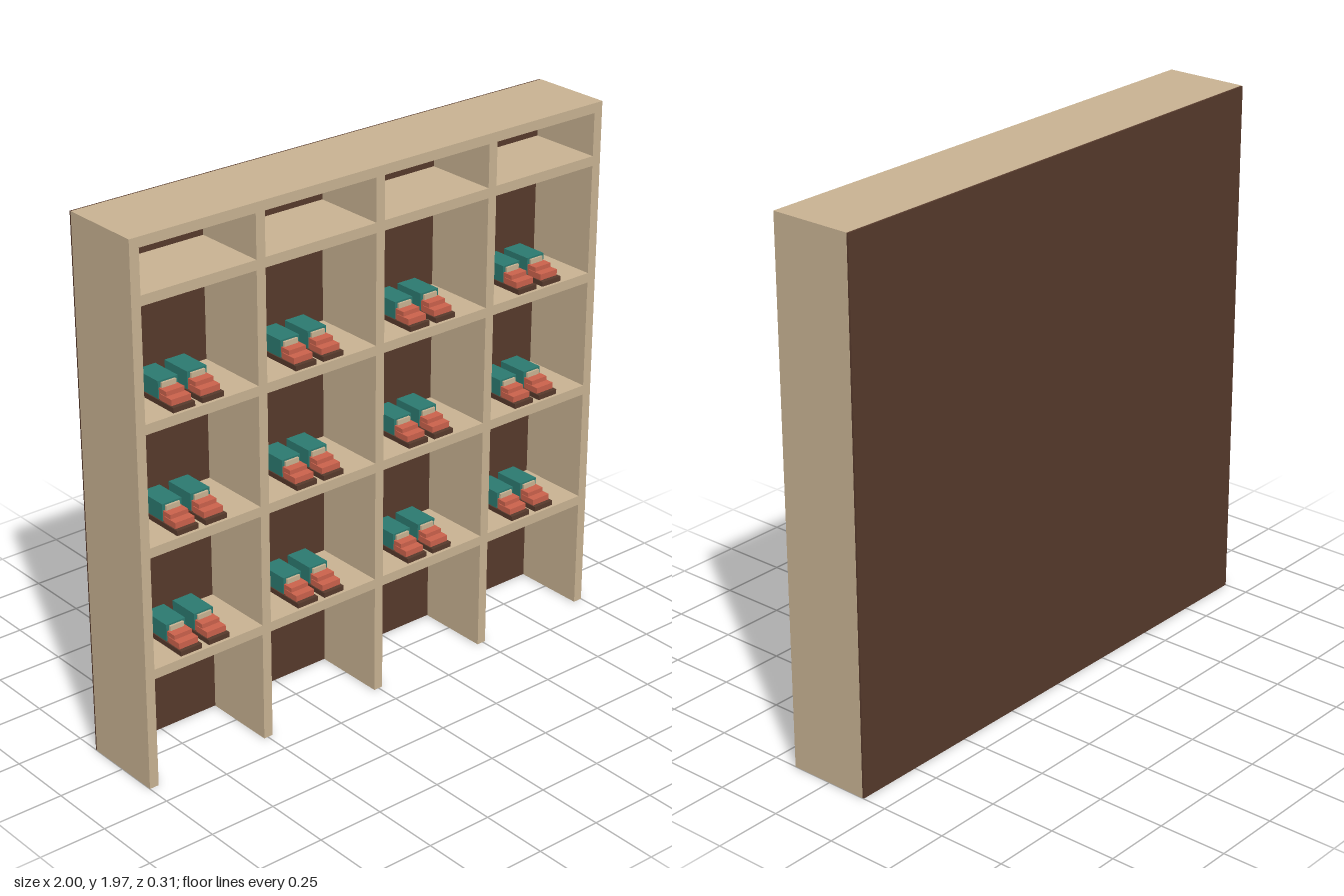
import * as THREE from 'three';

const mat = (name, color) => {
  const m = new THREE.MeshStandardMaterial({ color });
  m.name = name;
  return m;
};

// Box given by its min and max on each axis
function box(name, material, [x0, x1], [y0, y1], [z0, z1]) {
  const mesh = new THREE.Mesh(new THREE.BoxGeometry(x1 - x0, y1 - y0, z1 - z0), material);
  mesh.name = name;
  mesh.position.set((x0 + x1) / 2, (y0 + y1) / 2, (z0 + z1) / 2);
  return mesh;
}

export function createModel() {
  const wood = mat('lightWood', 0xc9b393);
  const dark = mat('darkBrown', 0x573a2c);
  const coral = mat('coral', 0xcb624c);
  const teal = mat('teal', 0x2c7a70);

  const model = new THREE.Group();
  model.name = 'shoeShelf';
  const height = 1.965, depth = [-0.15, 0.157], t = 0.018;

  // Uprights
  for (const x of [-0.982, -0.4975, -0.002, 0.4925, 0.982])
    model.add(box('upright', wood, [x - t, x + t], [0, height], depth));

  // Shelves and top board, fitted between the outer faces
  const shelfTops = [0.447, 0.896, 1.334, 1.772];
  for (const y of shelfTops)
    model.add(box('shelf', wood, [-0.98, 0.98], [y - 2 * t, y], depth));
  model.add(box('topBoard', wood, [-1, 1], [height - 2 * t, height], depth));

  // Back panel, set just inside the frame
  model.add(box('backPanel', dark, [-0.999, 0.999], [0.001, height - 0.001], [-0.157, -0.121]));

  // One shoe, standing on y = 0 with the toe towards +z
  const shoe = () => {
    const g = new THREE.Group();
    g.name = 'shoe';
    g.add(
      box('sole', dark, [-0.043, 0.043], [0, 0.018], [-0.065, 0.145]),
      box('heel', teal, [-0.039, 0.039], [0.018, 0.08], [-0.06, 0.06]),
      box('vamp', coral, [-0.036, 0.036], [0.018, 0.056], [0.06, 0.1]),
      box('toeCap', coral, [-0.039, 0.039], [0.018, 0.04], [0.07, 0.13]),
      box('tongue', wood, [-0.028, 0.028], [0.056, 0.074], [0.06, 0.068])
    );
    return g;
  };

  // A pair in each cell of the three middle rows
  for (const y of shelfTops.slice(0, 3))
    for (const x of [-0.746, -0.251, 0.243, 0.74]) {
      const pair = new THREE.Group();
      pair.name = 'shoePair';
      for (const side of [-1, 1]) {
        const s = shoe();
        s.position.x = side * 0.0575;
        pair.add(s);
      }
      pair.position.set(x, y, 0);
      model.add(pair);
    }

  return model;
}
